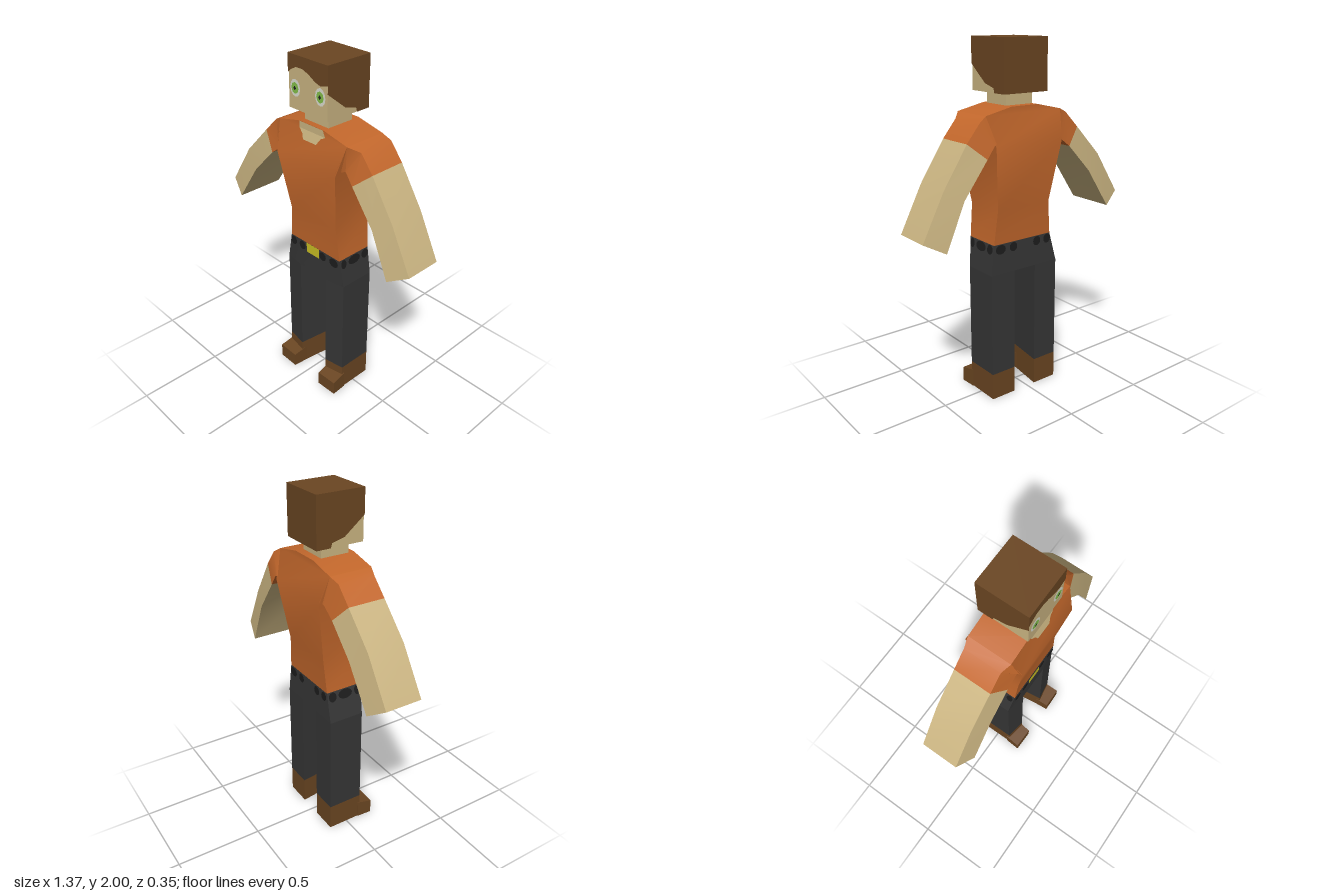
import * as THREE from 'three';
import { toCreasedNormals } from 'three/addons/utils/BufferGeometryUtils.js';

const mat = (name, color) => new THREE.MeshStandardMaterial({ name, color });

// Skin over a series of rings (each counterclockwise seen from the path's end), with both ends capped
function loft(rings, crease = 0.6) {
  const n = rings[0].length, pos = [];
  const tri = (a, b, c) => pos.push(...a, ...b, ...c);
  for (let k = 0; k < rings.length - 1; k++) {
    const a = rings[k], b = rings[k + 1];
    for (let i = 0; i < n; i++) {
      const j = (i + 1) % n;
      tri(a[i], a[j], b[j]);
      tri(a[i], b[j], b[i]);
    }
  }
  const first = rings[0], last = rings[rings.length - 1];
  for (let i = 1; i < n - 1; i++) {
    tri(first[0], first[i + 1], first[i]);
    tri(last[0], last[i], last[i + 1]);
  }
  const g = new THREE.BufferGeometry();
  g.setAttribute('position', new THREE.Float32BufferAttribute(pos, 3));
  g.computeVertexNormals();
  return toCreasedNormals(g, crease);
}

const rect = (y, x0, x1, z0, z1) => [[x1, y, z1], [x1, y, z0], [x0, y, z0], [x0, y, z1]];

// Flat painted patch: a 2D outline mapped onto a surface
function patch(points, map) {
  const g = new THREE.ShapeGeometry(new THREE.Shape(points.map(p => new THREE.Vector2(...p))));
  const p = g.attributes.position;
  for (let i = 0; i < p.count; i++) p.setXYZ(i, ...map(p.getX(i), p.getY(i)));
  g.computeVertexNormals();
  return g;
}

const oval = (cx, cy, rx, ry, n = 12) => Array.from({ length: n }, (_, i) => {
  const a = i / n * Math.PI * 2;
  return [cx + rx * Math.cos(a), cy + ry * Math.sin(a)];
});

export function createModel() {
  const model = new THREE.Group();
  const skin = mat('skin', 0xcbb582), hair = mat('brown', 0x6b4622), shirt = mat('orange shirt', 0xc4682c);
  const trousers = mat('trousers', 0x363636), dark = mat('dark belt', 0x1d1d1d), gold = mat('buckle', 0xcabf24);
  const white = mat('eye white', 0xdedfd2), green = mat('iris green', 0x83c04a);
  const add = (name, geometry, material) => {
    const m = new THREE.Mesh(geometry, material);
    m.name = name;
    model.add(m);
    return m;
  };

  // Head and neck
  const hx0 = -0.107, hx1 = 0.177, hz0 = -0.137, hz1 = 0.149, e = 0.003;
  add('head', loft([rect(1.72, hx0 + e, hx1 - e, hz0 + e, hz1 - e), rect(2 - e, hx0 + e, hx1 - e, hz0 + e, hz1 - e)]), skin);
  add('neck', loft([rect(1.63, -0.053, 0.12, -0.077, 0.09), rect(1.73, -0.053, 0.12, -0.077, 0.09)]), skin);

  // Hair: fringe, sides, back and crown
  add('hairFringe', patch([[hx0, 2], [hx0, 1.9], [-0.085, 1.92], [-0.048, 1.94], [0, 1.94], [0.042, 1.925],
    [0.09, 1.898], [0.127, 1.887], [hx1, 1.9], [hx1, 2]], (u, v) => [u, v, hz1]), hair);
  const side = [[hz1, 2], [hz1, 1.86], [0.08, 1.805], [0.03, 1.765], [-0.045, 1.745], [-0.052, 1.72], [hz0, 1.72], [hz0, 2]];
  add('hairLeft', patch(side.map(([z, y]) => [-z, y]), (u, v) => [hx1, v, -u]), hair);
  add('hairRight', patch(side, (u, v) => [hx0, v, u]), hair);
  add('hairBack', patch([[-hx1, 1.72], [-hx0, 1.72], [-hx0, 2], [-hx1, 2]], (u, v) => [-u, v, hz0]), hair);
  add('hairCrown', patch([[hx0, -hz1], [hx1, -hz1], [hx1, -hz0], [hx0, -hz0]], (u, v) => [u, 2, -v]), hair);

  // Eyes, layered from the white outward
  for (const [x, label] of [[0.125, 'left'], [-0.055, 'right']]) {
    const layer = (part, rx, ry, z, material, n) =>
      add(label + part, patch(oval(x, 1.833, rx, ry, n), (u, v) => [u, v, hz1 + z]), material);
    layer('EyeWhite', 0.036, 0.046, 0, white);
    layer('Iris', 0.026, 0.03, 0.002, green, 8);
    layer('Pupil', 0.01, 0.012, 0.004, dark, 4);
  }

  // Torso
  add('torso', loft([
    rect(0.92, -0.16, 0.23, -0.11, 0.11),
    rect(1.11, -0.14, 0.21, -0.12, 0.12),
    rect(1.46, -0.185, 0.255, -0.173, 0.173),
    rect(1.62, -0.21, 0.286, -0.125, 0.125),
    rect(1.655, -0.053, 0.12, -0.125, 0.125),
  ]), shirt);

  // Open collar
  const chestZ = y => 0.128 + Math.max(0, 1.62 - y) * 0.3;
  const onChest = (u, v) => [u, v, chestZ(v)];
  add('collarTop', patch([[-0.053, 1.62], [0.137, 1.62], [0.12, 1.655], [-0.053, 1.655]], onChest), skin);
  add('collarOpening', patch([[-0.053, 1.62], [-0.022, 1.595], [-0.012, 1.57], [0.085, 1.57], [0.108, 1.605], [0.137, 1.62]], onChest), skin);

  // Arms: rings of [outer x, outer y, inner x, inner y], wider on the inner side
  const arms = [
    { label: 'left', s: 1, zo: [-0.14, 0.075], zi: [-0.173, 0.11],
      rings: [[0.286, 1.62, 0.25, 1.48], [0.335, 1.59, 0.265, 1.475], [0.413, 1.495, 0.312, 1.41], [0.556, 1.277, 0.455, 1.22], [0.684, 1.028, 0.567, 0.964]] },
    { label: 'right', s: -1, zo: [-0.11, 0.105], zi: [-0.147, 0.143],
      rings: [[-0.21, 1.62, -0.18, 1.48], [-0.265, 1.595, -0.19, 1.465], [-0.355, 1.505, -0.265, 1.41], [-0.525, 1.33, -0.42, 1.25], [-0.685, 1.085, -0.578, 1.017]] },
  ];
  for (const { label, s, zo, zi, rings } of arms) {
    const r = rings.map(([ox, oy, ix, iy], k) => {
      const o = k ? zo : [-0.125, 0.125], i = k ? zi : [-0.168, 0.168];
      const ring = [[ox, oy, o[1]], [ix, iy, i[1]], [ix, iy, i[0]], [ox, oy, o[0]]];
      return s > 0 ? ring : ring.reverse();
    });
    add(label + 'Sleeve', loft(r.slice(0, 3)), shirt);
    add(label + 'Arm', loft(r.slice(2)), skin);
  }

  // Hips
  add('hips', loft([
    [[0.25, 0.75, 0.095], [0.25, 0.75, -0.115], [-0.205, 0.75, -0.115], [-0.205, 0.75, 0.095], [-0.083, 0.75, 0.115], [0.128, 0.75, 0.115]],
    [[0.23, 0.92, 0.11], [0.23, 0.92, -0.11], [-0.16, 0.92, -0.11], [-0.16, 0.92, 0.11], [-0.083, 0.92, 0.11], [0.128, 0.92, 0.11]],
  ]), trousers);

  // Legs and shoes, mirrored about the body's centre line
  const c = 0.0225;
  for (const [s, label] of [[1, 'left'], [-1, 'right']]) {
    const mirror = ring => {
      const r = ring.map(([x, y, z]) => [c + s * x, y, z]);
      return s > 0 ? r : r.reverse();
    };
    const leg = y => mirror([[0.2275, y, 0.095], [0.2275, y, -0.115], [0.073, y, -0.115], [0.105, y, 0.115]]);
    add(label + 'Leg', loft([leg(0.155), leg(0.75)]), trousers);
    add(label + 'Shoe', loft([leg(0), leg(0.155)]), hair);
    add(label + 'Toe', loft([
      mirror([[0.238, 0, 0.172], [0.232, 0, 0.08], [0.1, 0, 0.08], [0.108, 0, 0.175]]),
      mirror([[0.238, 0.085, 0.172], [0.232, 0.105, 0.08], [0.1, 0.105, 0.08], [0.108, 0.085, 0.175]]),
    ]), hair);
  }

  // Buckle and dark belt patches around the waist
  add('buckle', patch([[-0.026, 0.865], [0.074, 0.865], [0.074, 0.925], [-0.026, 0.925]], (u, v) => [u, v, 0.116]), gold);
  const y = 0.892, ry = 0.027;
  for (const [x, rx] of [[-0.135, 0.025], [-0.062, 0.026], [0.103, 0.026], [0.19, 0.034]]) {
    add('beltFront', patch(oval(x, y, rx, ry), (u, v) => [u, v, 0.115]), dark);
    add('beltBack', patch(oval(-x, y, rx, ry), (u, v) => [-u, v, -0.116]), dark);
  }
  for (const [z, rx] of [[0.082, 0.02], [0.002, 0.045], [-0.08, 0.025]]) {
    add('beltLeft', patch(oval(-z, y, rx, ry), (u, v) => [0.234 + (0.92 - v) * 0.118, v, -u]), dark);
    add('beltRight', patch(oval(z, y, rx, ry), (u, v) => [-0.164 - (0.92 - v) * 0.265, v, u]), dark);
  }
  return model;
}
